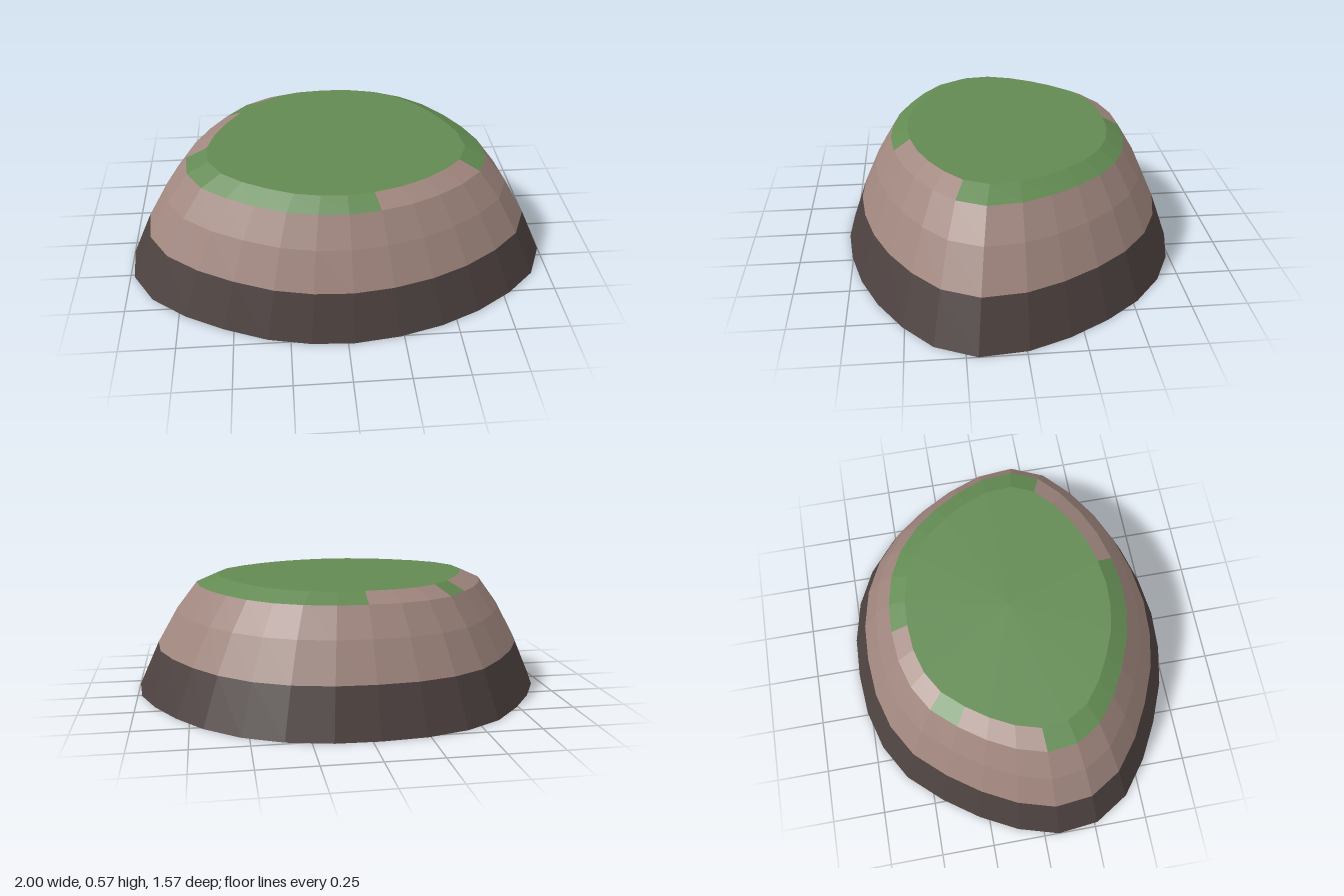
import * as THREE from 'three';

// Ground outline (x, z), running from the left side round by the front
const OUTLINE = [
  [0.98, -0.01], [1, 0.2], [0.92, 0.38], [0.78, 0.51], [0.61, 0.62], [0.43, 0.7], [0.23, 0.755],
  [0.03, 0.78], [-0.16, 0.77], [-0.35, 0.73], [-0.545, 0.65], [-0.72, 0.555], [-0.88, 0.43], [-0.98, 0.265],
  [-1, 0.07], [-0.945, -0.12], [-0.855, -0.295], [-0.74, -0.46], [-0.6, -0.615], [-0.43, -0.715], [-0.24, -0.77],
  [-0.035, -0.787], [0.16, -0.78], [0.36, -0.735], [0.535, -0.65], [0.69, -0.52], [0.81, -0.365], [0.91, -0.19],
];
const N = OUTLINE.length;

// Rings of the mound: [scale of the outline, height]
const RINGS = [[1, 0], [0.9, 0.22], [0.8, 0.395], [0.7, 0.527], [0.6, 0.572]];

const point = (ring, i) => {
  const [s, y] = RINGS[ring];
  const [x, z] = OUTLINE[i % N];
  return [x * s, y, z * s];
};

// Facets between a ring and the next one up, for the chosen segments
function band(ring, segments) {
  const out = [];
  for (const i of segments) {
    const a = point(ring, i), b = point(ring, i + 1);
    const c = point(ring + 1, i + 1), d = point(ring + 1, i);
    out.push(...a, ...d, ...c, ...a, ...c, ...b);
  }
  return out;
}

// Flat top as a fan of triangles
function cap(ring) {
  const out = [];
  for (let i = 0; i < N; i++) out.push(0, RINGS[ring][1], 0, ...point(ring, i + 1), ...point(ring, i));
  return out;
}

function material(name, color) {
  return new THREE.MeshStandardMaterial({ name, color, flatShading: true, side: THREE.DoubleSide });
}

function part(name, positions, mat) {
  const geometry = new THREE.BufferGeometry();
  geometry.setAttribute('position', new THREE.Float32BufferAttribute(positions, 3));
  geometry.computeVertexNormals();
  const mesh = new THREE.Mesh(geometry, mat);
  mesh.name = name;
  return mesh;
}

export function createModel() {
  const darkRock = material('dark rock', 0x4d4240);
  const rock = material('rock', 0xa1877f);
  const grass = material('grass', 0x628a52);

  const all = OUTLINE.map((_, i) => i);
  // Segments of the top edge where the grass hangs over
  const grassy = i => i < 2 || (i >= 6 && i < 14) || i === 17 || i >= 21;

  const model = new THREE.Group();
  model.name = 'grassyRock';
  model.add(
    part('rockBase', band(0, all), darkRock),
    part('rockLowerSlope', band(1, all), rock),
    part('rockUpperSlope', band(2, all), rock),
    part('rockBareEdge', band(3, all.filter(i => !grassy(i))), rock),
    part('grassEdge', band(3, all.filter(grassy)), grass),
    part('grassTop', cap(4), grass),
  );
  return model;
}
